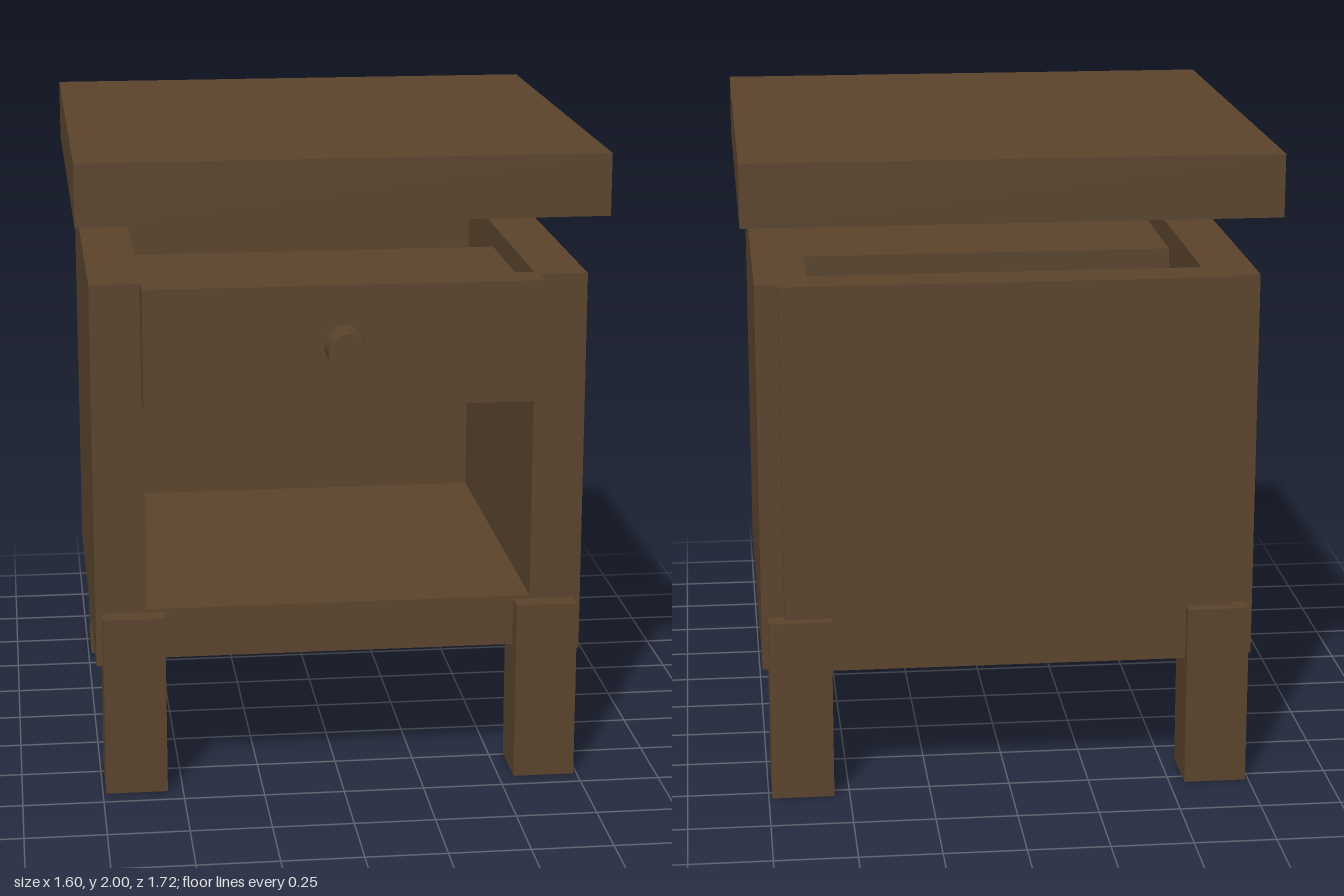
import * as THREE from 'three';

export function createModel() {
  const group = new THREE.Group();
  const wood = new THREE.MeshStandardMaterial({ color: 0x5a432c });
  wood.name = 'darkWood';

  // Box given by its extents on each axis
  const box = (name, [x0, x1], [y0, y1], [z0, z1], parent = group) => {
    const mesh = new THREE.Mesh(new THREE.BoxGeometry(x1 - x0, y1 - y0, z1 - z0), wood);
    mesh.position.set((x0 + x1) / 2, (y0 + y1) / 2, (z0 + z1) / 2);
    mesh.name = name;
    parent.add(mesh);
  };

  // Raised top board
  box('tableTop', [-0.8, 0.8], [1.81, 2], [-0.86, 0.74]);

  // Cabinet: floor, back and two sides, open at the front and top
  box('cabinetFloor', [-0.6, 0.6], [0.42, 0.58], [-0.7, 0.62]);
  box('backPanel', [-0.69, 0.69], [0.4, 1.61], [-0.76, -0.62]);
  for (const [side, s] of [['left', 1], ['right', -1]]) {
    const span = (a, b) => (s > 0 ? [a, b] : [-b, -a]);
    box(side + 'SidePanel', span(0.6, 0.76), [0.4, 1.61], [-0.73, 0.62]);

    // Square legs
    box(side + 'FrontLeg', span(0.548, 0.74), [0, 0.57], [0.49, 0.685]);
    box(side + 'BackLeg', span(0.548, 0.74), [0, 0.57], [-0.795, -0.6]);
  }

  // Drawer with a thick front and a round knob
  const drawer = new THREE.Group();
  drawer.name = 'drawer';
  group.add(drawer);
  box('drawerFront', [-0.607, 0.607], [1.243, 1.618], [0.62, 0.74], drawer);
  box('drawerBody', [-0.59, 0.59], [1.27, 1.55], [-0.08, 0.63], drawer);
  const knob = new THREE.Mesh(new THREE.CylinderGeometry(0.063, 0.063, 0.14, 32), wood);
  knob.name = 'drawerKnob';
  knob.rotation.x = Math.PI / 2;
  knob.position.set(0, 1.433, 0.79);
  drawer.add(knob);

  return group;
}
